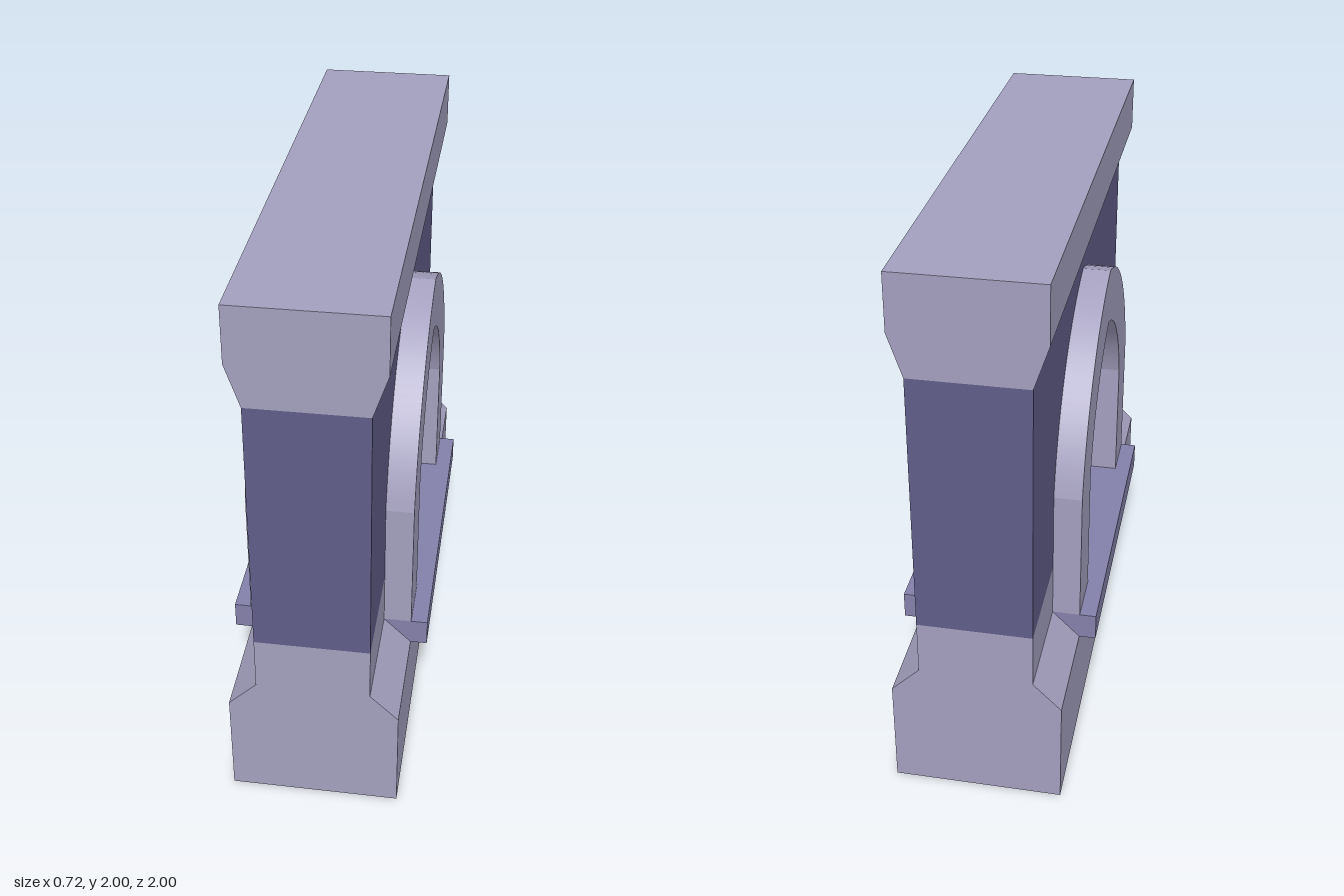
import * as THREE from 'three';
import { toCreasedNormals } from 'three/addons/utils/BufferGeometryUtils.js';

const stone = new THREE.MeshStandardMaterial({ color: 0xa39fbe });
const panel = new THREE.MeshStandardMaterial({ color: 0x605d88 });
const ledge = new THREE.MeshStandardMaterial({ color: 0x8480aa });

// Points of a pointed arch opening, from foot to foot (u, y)
function archPoints(halfWidth, footY, radius, d) {
  const start = Math.acos((halfWidth + d) / radius);
  const end = Math.acos(d / radius);
  const steps = 24;
  const side = [[halfWidth, footY]];
  for (let i = 0; i <= steps; i++) {
    const a = start + (end - start) * i / steps;
    side.push([radius * Math.cos(a) - d, 1 - d + radius * Math.sin(a)]);
  }
  side[side.length - 1][0] = 0;
  const mirrored = side.slice(0, -1).reverse().map(([u, y]) => [-u, y]);
  return [...side, ...mirrored];
}

// Extrusion of an outline, centred on its depth
function prism(points, depth) {
  const shape = new THREE.Shape(points.map(([x, y]) => new THREE.Vector2(x, y)));
  const geo = new THREE.ExtrudeGeometry(shape, { depth, bevelEnabled: false });
  geo.translate(0, 0, -depth / 2);
  return toCreasedNormals(geo, 0.18);
}

// Closes a half profile by mirroring it in x
function symmetric(half) {
  return [...half, ...half.slice().reverse().map(([x, y]) => [-x, y])];
}

export function createModel() {
  const group = new THREE.Group();
  const add = (name, geo, material) => {
    const mesh = new THREE.Mesh(geo, material);
    mesh.name = name;
    group.add(mesh);
    return mesh;
  };

  // Base block and the chamfered shoulders beside the opening
  add('base', new THREE.BoxGeometry(0.6, 0.4, 2).translate(0, 0.2, 0), stone);
  const shoulder = symmetric([[0.3, 0.4], [0.2, 0.5], [0.2, 0.7]]);
  for (const s of [1, -1]) {
    add(s > 0 ? 'frontShoulder' : 'backShoulder', prism(shoulder, 0.4), stone).position.z = 0.8 * s;
  }

  // Flared coping along the top
  add('coping', prism(symmetric([[0.2, 1.65], [0.25, 1.8], [0.25, 2]]), 2), stone);

  // Pointed arch: arc centres lie d beyond the middle and d below the springing
  const d = 0.18;
  const radius = Math.hypot(0.6 + d, d);
  const outer = (footY) => archPoints(0.6, footY, radius, d);
  const inner = archPoints(0.4, 0.5, radius - 0.2, d);

  // Dark wall, notched around the arch
  const wall = prism([[1, 0.7], [1, 1.65], [-1, 1.65], [-1, 0.7], ...outer(0.7).reverse()], 0.4);
  add('wall', wall.rotateY(Math.PI / 2), panel);

  // Raised arch surround running through the wall
  const surround = prism([...outer(0.5), ...inner.reverse()], 0.6);
  add('archSurround', surround.rotateY(Math.PI / 2), stone);

  // Sill slab under the arch
  add('sill', new THREE.BoxGeometry(0.72, 0.1, 1.2).translate(0, 0.45, 0), ledge);

  return group;
}
